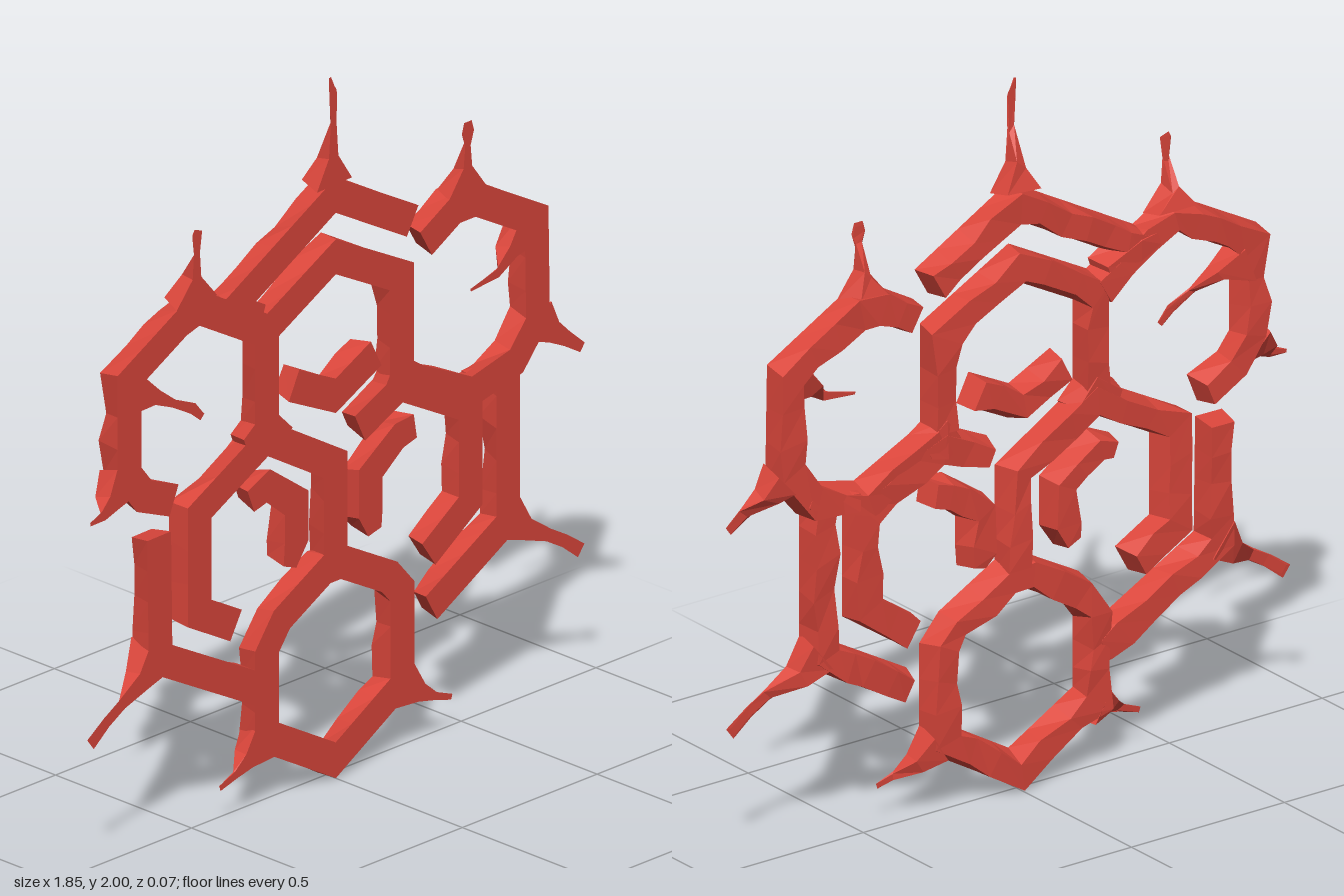
import * as THREE from 'three';

const FRONT = 0.035, DEPTH = 0.07, W = 0.088;

// Seeded random so the rough-cut back is always the same
let seed = 7;
const rand = () => {
  seed = (seed * 16807) % 2147483647;
  return seed / 2147483647;
};

// Points are [x, y, width, depth]; split long runs into short ones
function subdivide(points, closed, step) {
  const out = [];
  const count = closed ? points.length : points.length - 1;
  for (let i = 0; i < count; i++) {
    const a = points[i], b = points[(i + 1) % points.length];
    const n = Math.max(1, Math.round(Math.hypot(b[0] - a[0], b[1] - a[1]) / step));
    for (let k = 0; k < n; k++) out.push(a.map((v, j) => v + (b[j] - v) * k / n));
  }
  if (!closed) out.push(points[points.length - 1]);
  return out;
}

// A mitred bar with a clean flat front and an irregular, narrower back
function barGeometry(raw, closed = false, step = 0.085) {
  const points = subdivide(raw.map(([x, y, w = W, d = DEPTH]) => [x, y, w, d]), closed, step);
  const n = points.length;
  const direction = (a, b) => new THREE.Vector2(b[0] - a[0], b[1] - a[1]).normalize();
  const rings = points.map((p, i) => {
    const prev = closed || i > 0 ? points[(i + n - 1) % n] : null;
    const next = closed || i < n - 1 ? points[(i + 1) % n] : null;
    const d0 = prev ? direction(prev, p) : direction(p, next);
    const d1 = next ? direction(p, next) : d0;
    const t = d0.clone().add(d1).normalize();
    const half = p[2] / 2 / Math.max(0.6, t.dot(d1));
    const at = (side, along, z) => [p[0] - t.y * side + t.x * along, p[1] + t.x * side + t.y * along, z];
    const left = half * (0.5 + 0.55 * rand()), right = half * (0.5 + 0.55 * rand());
    const inset = !prev ? 0.012 : !next ? -0.012 : 0;
    const slide = () => inset + (prev && next ? (rand() - 0.5) * 0.03 : 0);
    const back = () => FRONT - p[3] * (0.9 + 0.1 * rand());
    return [at(half, 0, FRONT), at(-half, 0, FRONT), at(-right, slide(), back()), at(left, slide(), back())];
  });
  const pos = [];
  const quad = (a, b, c, d) => pos.push(...a, ...b, ...c, ...a, ...c, ...d);
  for (let i = 0; i < (closed ? n : n - 1); i++) {
    const r = rings[i], s = rings[(i + 1) % n];
    for (let k = 0; k < 4; k++) quad(r[k], r[(k + 1) % 4], s[(k + 1) % 4], s[k]);
  }
  if (!closed) {
    quad(...rings[0].slice().reverse());
    quad(...rings[n - 1]);
  }
  const geometry = new THREE.BufferGeometry();
  geometry.setAttribute('position', new THREE.Float32BufferAttribute(pos, 3));
  geometry.computeVertexNormals();
  return geometry;
}

export function createModel() {
  seed = 7;
  const model = new THREE.Group();
  model.name = 'honeycombOrnament';
  const red = new THREE.MeshStandardMaterial({ color: 0xdb463b, flatShading: true });

  const bar = (name, points, closed) => {
    const mesh = new THREE.Mesh(barGeometry(points, closed), red);
    mesh.name = name;
    model.add(mesh);
  };
  // Thorns are thick at the root and thin out to a sheet at the front
  const thorn = (name, points) => {
    const depths = [DEPTH, 0.05, 0.004, 0.001, 0.001];
    const mesh = new THREE.Mesh(barGeometry(points.map((p, i) => [...p, depths[i]]), false, 1), red);
    mesh.name = name;
    model.add(mesh);
  };

  // Hexagon cells
  bar('bottomCell', [[0, 0.055], [0.247, 0.2], [0.247, 0.46], [0.2, 0.515], [0.03, 0.608],
    [-0.03, 0.608], [-0.2, 0.515], [-0.255, 0.44], [-0.255, 0.2]], true);
  bar('topCell', [[-0.255, 1.07], [-0.255, 1.35], [0, 1.485], [0.245, 1.355], [0.245, 1.07]]);
  bar('leftCell', [[-0.6, 0.975], [-0.71, 1.02], [-0.765, 1.09], [-0.765, 1.365], [-0.57, 1.47],
    [-0.5, 1.49], [-0.255, 1.35]]);
  bar('rightCell', [[0.335, 1.42], [0.45, 1.485], [0.53, 1.485], [0.745, 1.365], [0.75, 1.08],
    [0.67, 0.985], [0.5, 0.945], [0.25, 1.065]]);
  bar('centreLeftCell', [[-0.37, 0.55], [-0.505, 0.625], [-0.505, 0.91], [-0.25, 1.045], [0, 0.895], [0, 0.62]]);
  bar('centreRightCell', [[0.09, 0.97], [0.25, 1.045], [0.5, 0.91], [0.5, 0.64], [0.345, 0.535]]);

  // Outer rails
  bar('topRail', [[-0.42, 1.43], [0, 1.66], [0.285, 1.5]]);
  bar('leftRail', [[-0.655, 0.89], [-0.65, 0.54], [-0.26, 0.33]]);
  bar('rightRail', [[0.64, 1.0], [0.64, 0.54], [0.355, 0.38]]);

  // Loose brackets inside the three middle cells
  bar('topBracket', [[-0.155, 1.165], [0, 1.09], [0.15, 1.165]]);
  bar('leftBracket', [[-0.315, 0.885, 0.07], [-0.25, 0.91, 0.08], [-0.145, 0.83], [-0.145, 0.72], [-0.17, 0.655, 0.05]]);
  bar('rightBracket', [[0.295, 0.915, 0.07], [0.235, 0.905, 0.08], [0.13, 0.83], [0.13, 0.72], [0.145, 0.66, 0.05]]);

  // Fillets where three bars meet
  bar('leftJoint', [[-0.33, 1.04, 0.06], [-0.255, 1.07, 0.12], [-0.18, 1.02, 0.07]]);
  bar('rightJoint', [[0.2, 1.03, 0.06], [0.245, 1.07, 0.12], [0.32, 1.04, 0.07]]);
  bar('upperJoint', [[-0.46, 1.46, 0.05], [-0.38, 1.44, 0.1], [-0.27, 1.4, 0.06]]);
  bar('railJoint', [[0.52, 0.955, 0.06], [0.62, 0.965, 0.08], [0.7, 1.01, 0.06]]);

  // Thorns
  thorn('topThorn', [[-0.005, 1.69, 0.13], [-0.008, 1.77, 0.035], [-0.008, 1.86, 0.022], [-0.01, 1.95, 0.028], [-0.022, 2, 0.008]]);
  thorn('upperLeftThorn', [[-0.515, 1.51, 0.15], [-0.515, 1.58, 0.032], [-0.515, 1.65, 0.022], [-0.515, 1.7, 0.035], [-0.51, 1.715, 0.03]]);
  thorn('upperRightThorn', [[0.49, 1.51, 0.15], [0.49, 1.59, 0.032], [0.49, 1.65, 0.02], [0.49, 1.69, 0.045], [0.49, 1.72, 0.028]]);
  thorn('middleLeftThorn', [[-0.77, 1.08, 0.12], [-0.82, 1.035, 0.055], [-0.86, 1.01, 0.03], [-0.91, 1.0, 0.01]]);
  thorn('middleRightThorn', [[0.76, 1.07, 0.12], [0.81, 1.025, 0.06], [0.86, 0.99, 0.04], [0.915, 0.95, 0.028]]);
  thorn('insideLeftThorn', [[-0.75, 1.32, 0.12], [-0.66, 1.285, 0.04], [-0.6, 1.25, 0.022], [-0.53, 1.215, 0.03], [-0.495, 1.18, 0.02]]);
  thorn('insideRightThorn', [[0.73, 1.35, 0.12], [0.66, 1.3, 0.045], [0.6, 1.255, 0.025], [0.5, 1.238, 0.008]]);
  for (const [side, s] of [['Left', -1], ['Right', 1]]) {
    thorn('lower' + side + 'Thorn', [[s * 0.64, 0.55, 0.13], [s * 0.71, 0.495, 0.06], [s * 0.79, 0.455, 0.035],
      [s * 0.85, 0.42, 0.035], [s * 0.91, 0.375, 0.04]]);
    thorn('bottom' + side + 'Thorn', [[s * 0.255, 0.19, 0.13], [s * 0.32, 0.15, 0.05], [s * 0.37, 0.125, 0.022],
      [s * 0.43, 0.105, 0.016]]);
  }
  return model;
}
